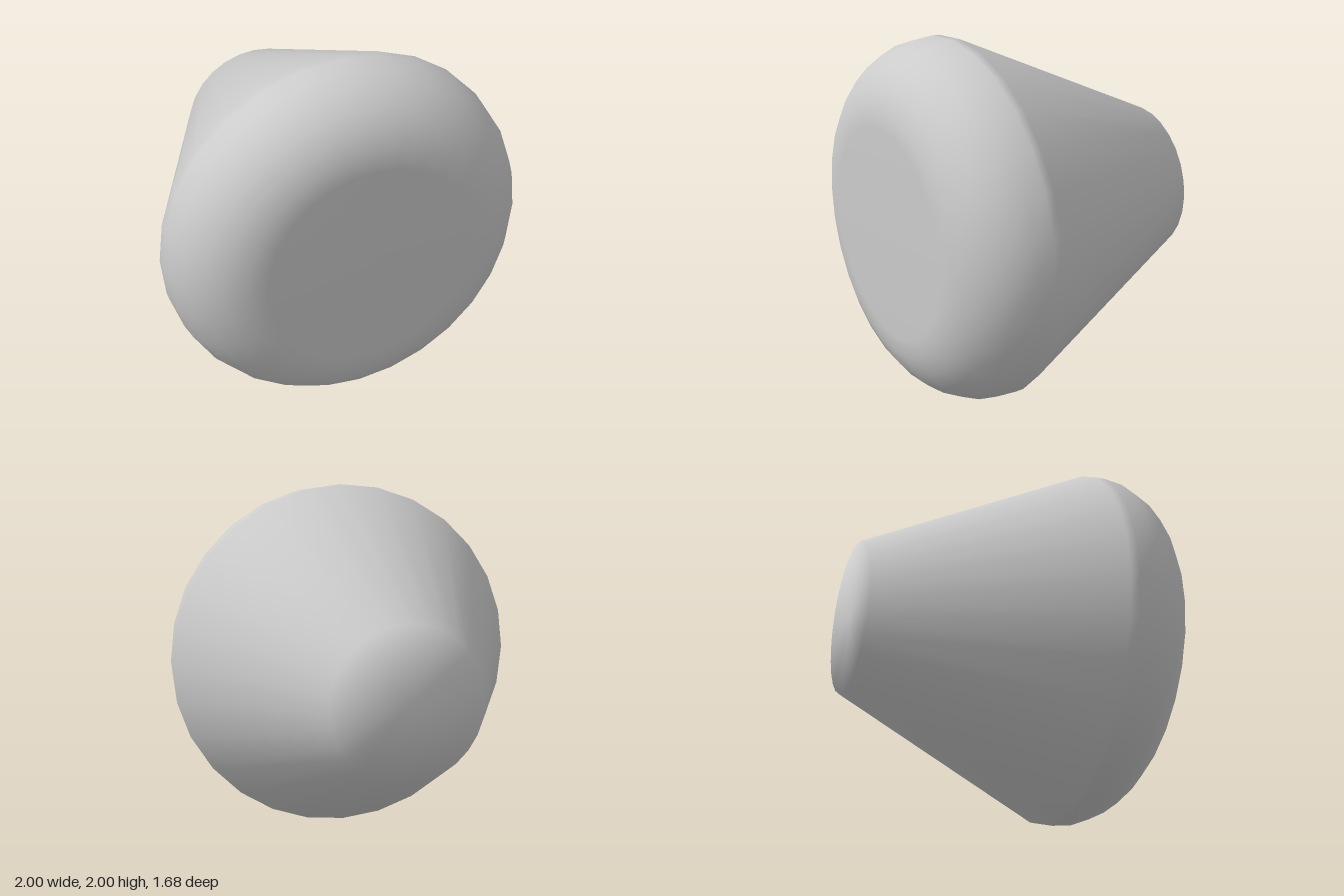
import * as THREE from 'three';

export function createModel() {
  const group = new THREE.Group();
  group.name = 'taperedKnob';

  // Profile (radius, height) from the front centre to the back centre
  const half = 0.84, round = 0.42;
  const profile = [new THREE.Vector2(0, -half)];

  // Rounded front rim
  const steps = 6;
  for (let i = 0; i <= steps; i++) {
    const a = (i / steps) * Math.PI / 2;
    profile.push(new THREE.Vector2(
      1 - round + round * Math.sin(a),
      -(half - round) - round * Math.cos(a)
    ));
  }

  // Conical wall and flat back
  profile.push(new THREE.Vector2(0.998, -0.37));
  profile.push(new THREE.Vector2(0.42, half));
  profile.push(new THREE.Vector2(0, half));

  // Lay the turned body on its side, with the broad face to +z
  const geometry = new THREE.LatheGeometry(profile, 28);
  geometry.rotateX(-Math.PI / 2);

  const body = new THREE.Mesh(
    geometry,
    new THREE.MeshStandardMaterial({ color: 0xcccccc })
  );
  body.name = 'knobBody';
  body.position.y = 1;
  group.add(body);
  return group;
}
